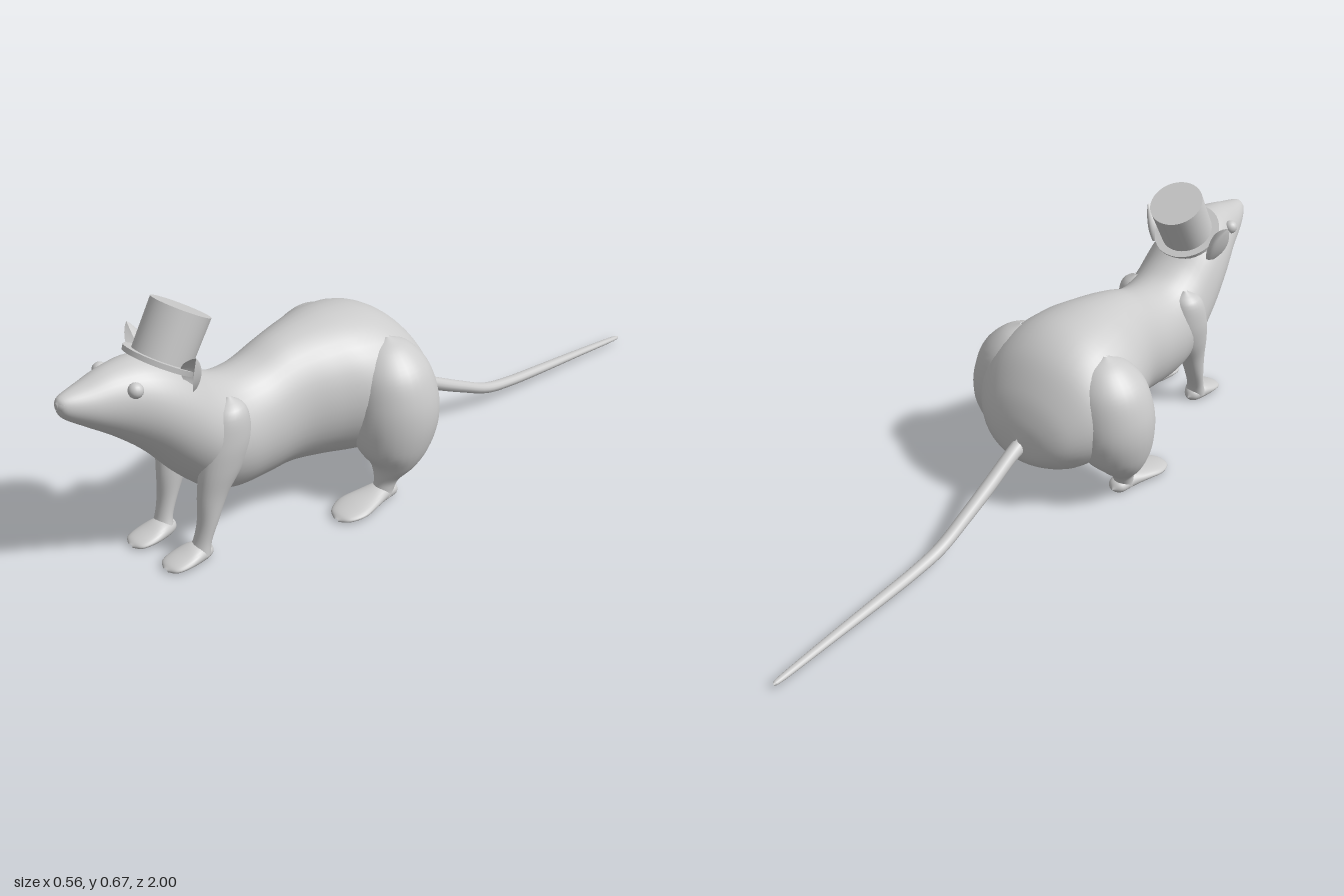
import * as THREE from 'three';

const material = new THREE.MeshStandardMaterial({ color: 0xcccccc });
const thin = new THREE.MeshStandardMaterial({ color: 0xcccccc, side: THREE.DoubleSide });

function add(parent, name, geometry, mat = material) {
  const mesh = new THREE.Mesh(geometry, mat);
  mesh.name = name;
  parent.add(mesh);
  return mesh;
}

// Smooth skin over elliptical sections [x, y, z, radiusX, radius2].
// axis 'z': rings stand in xy, listed front to back; axis 'y': rings lie in xz, listed top to bottom.
function loft(sections, axis, side = 1, sides = 28, steps = 5) {
  const centres = new THREE.CatmullRomCurve3(
    sections.map(s => new THREE.Vector3(s[0] * side, s[1], s[2])), false, 'catmullrom');
  const radii = new THREE.CatmullRomCurve3(
    sections.map(s => new THREE.Vector3(s[3], s[4], 0)), false, 'catmullrom');
  const rings = (sections.length - 1) * steps;
  const pos = [], index = [];
  for (let i = 0; i <= rings; i++) {
    const c = centres.getPoint(i / rings), r = radii.getPoint(i / rings);
    const a = Math.max(r.x, 0.0005), b = Math.max(r.y, 0.0005);
    for (let j = 0; j < sides; j++) {
      const t = j / sides * Math.PI * 2, u = a * Math.cos(t), v = b * Math.sin(t);
      if (axis === 'z') pos.push(c.x + u, Math.max(c.y + v, 0), c.z);
      else pos.push(c.x + u, Math.max(c.y, 0), c.z - v);
      if (i < rings) {
        const p = i * sides + j, q = i * sides + (j + 1) % sides;
        index.push(p, p + sides, q, q, p + sides, q + sides);
      }
    }
  }
  const g = new THREE.BufferGeometry();
  g.setAttribute('position', new THREE.Float32BufferAttribute(pos, 3));
  g.setIndex(index);
  g.computeVertexNormals();
  return g;
}

// Cupped leaf whose rims bend forward
function earGeometry(side) {
  const g = new THREE.PlaneGeometry(2, 1, 12, 14);
  const p = g.attributes.position;
  for (let i = 0; i < p.count; i++) {
    const u = p.getX(i), v = p.getY(i) + 0.5;
    const w = 0.027 * Math.pow(Math.sin(Math.PI * (0.14 + 0.86 * v)), 0.8);
    const x = 0.092 + 0.025 * v + 0.02 * v * v + u * w * 0.85;
    p.setXYZ(i, side * x, 0.475 + 0.097 * v - u * w * 0.35,
      0.69 + 0.02 * v + w * (1.5 * u * u - 0.8));
  }
  g.computeVertexNormals();
  return g;
}

export function createModel() {
  const animal = new THREE.Group();
  animal.name = 'rodentWithHat';

  // Snout, head, neck, trunk and rump: [z, top, bottom, half width]
  const trunk = [
    [1.0, 0.508, 0.49, 0.006], [0.985, 0.522, 0.465, 0.026], [0.93, 0.535, 0.425, 0.052],
    [0.86, 0.552, 0.375, 0.076], [0.78, 0.555, 0.305, 0.105], [0.7, 0.53, 0.215, 0.122],
    [0.62, 0.465, 0.145, 0.128], [0.55, 0.432, 0.122, 0.13], [0.47, 0.436, 0.12, 0.128],
    [0.38, 0.467, 0.125, 0.135], [0.29, 0.484, 0.115, 0.165], [0.2, 0.49, 0.1, 0.2],
    [0.1, 0.477, 0.085, 0.215], [0.02, 0.43, 0.09, 0.2], [-0.04, 0.35, 0.12, 0.15],
    [-0.07, 0.28, 0.15, 0.09], [-0.082, 0.22, 0.19, 0.005],
  ].map(([z, top, bottom, w]) => [0, (top + bottom) / 2, z, w, (top - bottom) / 2]);
  add(animal, 'body', loft(trunk, 'z', 1, 40));

  // Rounded nose tip
  const nose = add(animal, 'nose', new THREE.SphereGeometry(0.026, 20, 14));
  nose.position.set(0, 0.499, 0.977);
  nose.scale.set(1, 0.85, 0.9);

  for (const side of [1, -1]) {
    const label = side > 0 ? 'left' : 'right';

    const eye = add(animal, label + 'Eye', new THREE.SphereGeometry(0.019, 16, 12));
    eye.position.set(side * 0.072, 0.51, 0.835);
    add(animal, label + 'Ear', earGeometry(side), thin);

    // Shoulder and fore leg
    add(animal, label + 'ForeLeg', loft([
      [0.085, 0.41, 0.585, 0.005, 0.005], [0.088, 0.38, 0.59, 0.042, 0.045],
      [0.09, 0.31, 0.6, 0.049, 0.065], [0.089, 0.24, 0.618, 0.043, 0.062],
      [0.084, 0.17, 0.645, 0.034, 0.042], [0.083, 0.1, 0.664, 0.028, 0.026],
      [0.08, 0.05, 0.68, 0.026, 0.021], [0.076, 0.015, 0.69, 0.032, 0.026],
    ], 'y', side));
    add(animal, label + 'ForeFoot', loft([
      [0.073, 0.006, 0.79, 0.008, 0.004], [0.073, 0.009, 0.775, 0.034, 0.01],
      [0.073, 0.014, 0.74, 0.042, 0.016], [0.074, 0.018, 0.7, 0.036, 0.024],
      [0.076, 0.016, 0.665, 0.022, 0.018], [0.076, 0.014, 0.65, 0.002, 0.002],
    ], 'z', side));

    // Haunch and hind leg
    add(animal, label + 'HindLeg', loft([
      [0.14, 0.435, 0.12, 0.005, 0.005], [0.14, 0.41, 0.12, 0.06, 0.06],
      [0.15, 0.36, 0.12, 0.1, 0.1], [0.16, 0.29, 0.12, 0.115, 0.118],
      [0.167, 0.22, 0.122, 0.113, 0.12], [0.175, 0.15, 0.13, 0.093, 0.1],
      [0.183, 0.1, 0.138, 0.063, 0.06], [0.181, 0.06, 0.158, 0.033, 0.036],
      [0.178, 0.035, 0.168, 0.028, 0.03], [0.175, 0.012, 0.175, 0.03, 0.03],
    ], 'y', side));
    add(animal, label + 'HindFoot', loft([
      [0.186, 0.006, 0.34, 0.008, 0.004], [0.184, 0.01, 0.322, 0.038, 0.01],
      [0.18, 0.014, 0.28, 0.054, 0.015], [0.177, 0.018, 0.23, 0.046, 0.018],
      [0.175, 0.02, 0.18, 0.032, 0.024], [0.174, 0.018, 0.14, 0.025, 0.018],
      [0.174, 0.016, 0.122, 0.002, 0.002],
    ], 'z', side));
  }

  // Long tapering tail
  add(animal, 'tail', loft([
    [0, 0.205, -0.04, 0.022, 0.026], [0, 0.18, -0.11, 0.02, 0.021],
    [0, 0.135, -0.2, 0.02, 0.02], [0, 0.09, -0.3, 0.019, 0.018],
    [0, 0.05, -0.4, 0.018, 0.016], [0, 0.036, -0.5, 0.017, 0.014],
    [0, 0.03, -0.62, 0.016, 0.013], [0, 0.024, -0.8, 0.013, 0.01],
    [0, 0.017, -0.97, 0.009, 0.007], [0, 0.016, -1.0, 0.003, 0.003],
  ], 'z', 1, 14));

  // Top hat tipped backwards
  const hat = new THREE.Group();
  hat.name = 'topHat';
  hat.position.set(0, 0.52, 0.714);
  hat.rotation.x = -Math.PI / 6;
  const crown = add(hat, 'hatCrown', new THREE.CylinderGeometry(0.076, 0.074, 0.134, 40));
  crown.position.y = 0.067;
  add(hat, 'hatBrim', new THREE.CylinderGeometry(0.095, 0.093, 0.013, 40));
  animal.add(hat);

  return animal;
}
